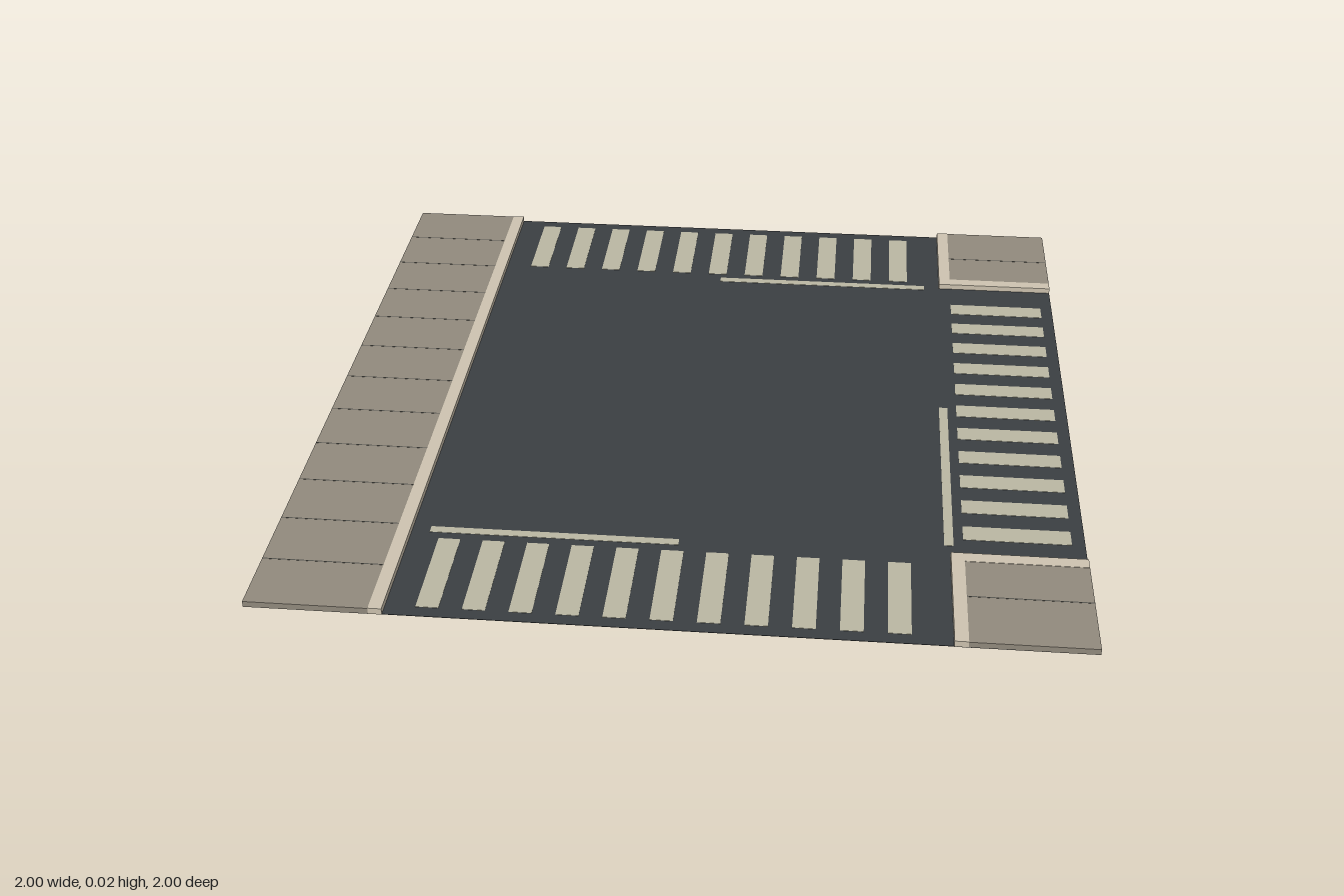
import * as THREE from 'three';

const colored = (color) => new THREE.MeshStandardMaterial({ color });

export function createModel() {
  const model = new THREE.Group();
  const asphalt = colored(0x3b3f42);
  const paving = colored(0x918a7d);
  const kerb = colored(0xcdc3b0);
  const paint = colored(0xbab7a2);
  const groove = colored(0x55554f);

  // Box given by its limits on each axis
  function slab(parent, name, material, [x0, x1], [y0, y1], [z0, z1]) {
    const mesh = new THREE.Mesh(new THREE.BoxGeometry(x1 - x0, y1 - y0, z1 - z0), material);
    mesh.position.set((x0 + x1) / 2, (y0 + y1) / 2, (z0 + z1) / 2);
    mesh.name = name;
    parent.add(mesh);
  }
  function section(name) {
    const group = new THREE.Group();
    group.name = name;
    model.add(group);
    return group;
  }

  const INNER = 0.667, EDGE = 0.7, JOINT = 1 / 6;
  const roadY = [0.0006, 0.0016], paintY = [0.0016, 0.0024];
  const paveY = [0, 0.016], kerbY = [0, 0.017], grooveY = [0.015, 0.0164];

  slab(model, 'road', asphalt, [-1, 1], roadY, [-1, 1]);

  // Long sidewalk on the closed side, with paving joints
  const walk = section('longSidewalk');
  slab(walk, 'sidewalkPaving', paving, [-1, -EDGE], paveY, [-1, 1]);
  slab(walk, 'kerb', kerb, [-EDGE, -INNER], kerbY, [-1, 1]);
  for (let i = -5; i <= 5; i++) {
    const z = i * JOINT;
    slab(walk, 'pavingJoint', groove, [-1, -EDGE], grooveY, [z - 0.0015, z + 0.0015]);
  }

  // Two corner sidewalks with L-shaped kerbs
  for (const side of [-1, 1]) {
    const corner = section(side < 0 ? 'backCornerSidewalk' : 'frontCornerSidewalk');
    const span = (a, b) => (side > 0 ? [a, b] : [-b, -a]);
    slab(corner, 'cornerPaving', paving, [EDGE, 1], paveY, span(EDGE, 1));
    slab(corner, 'sideKerb', kerb, [INNER, EDGE], kerbY, span(INNER, 1));
    slab(corner, 'endKerb', kerb, [EDGE, 1], kerbY, span(INNER, EDGE));
    const z = side * 5 * JOINT;
    slab(corner, 'pavingJoint', groove, [EDGE, 1], grooveY, [z - 0.0015, z + 0.0015]);
  }

  // Zebra crossings on the three open arms
  const back = section('backCrossing');
  const front = section('frontCrossing');
  const sideArm = section('leftCrossing');
  for (let i = 0; i < 11; i++) {
    const c = -0.567 + i * 0.111;
    const across = [c - 0.0275, c + 0.0275];
    slab(back, 'stripe', paint, across, paintY, [-0.967, -EDGE]);
    slab(front, 'stripe', paint, across, paintY, [EDGE, 0.967]);
    slab(sideArm, 'stripe', paint, [EDGE, 0.967], paintY, [-across[1], -across[0]]);
  }

  // Stop lines over half of each arm
  slab(back, 'stopLine', paint, [0, 0.622], paintY, [-0.678, -0.655]);
  slab(front, 'stopLine', paint, [-0.622, 0], paintY, [0.653, 0.676]);
  slab(sideArm, 'stopLine', paint, [0.653, 0.676], paintY, [0, 0.622]);

  return model;
}
